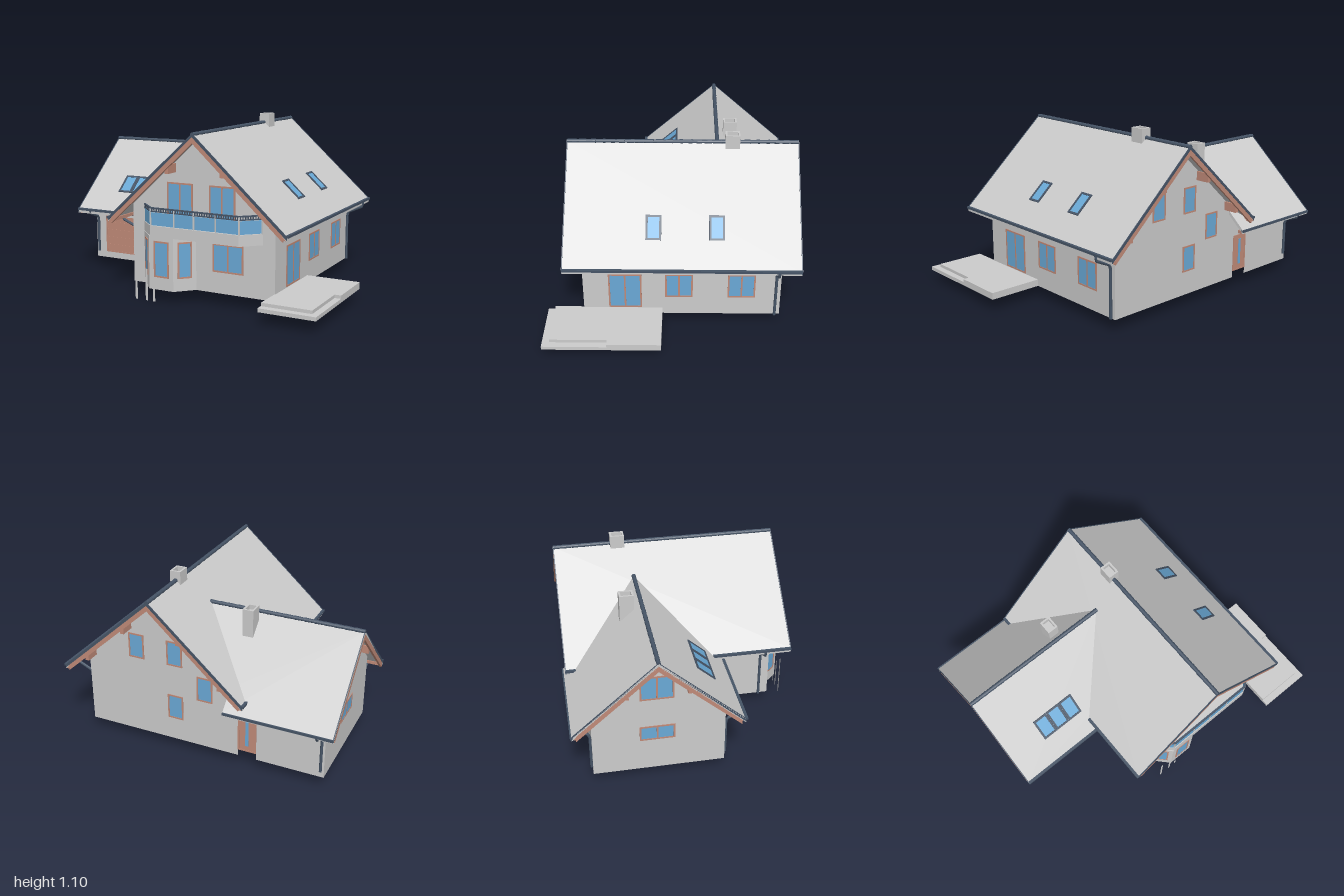
import * as THREE from 'three';

const mat = (color, side = THREE.FrontSide) => new THREE.MeshStandardMaterial({ color, side, flatShading: true });
const GREY = mat(0xcccccc), WOOD = mat(0xc08a78), DARK = mat(0x465466), GLASS = mat(0x6aa9d6), BLUE = mat(0x6068c8);
const THIN = mat(0xcccccc, THREE.DoubleSide);

// Roof planes: main ridge runs along z, wing ridge along x
const RX = 0.165, RZ = -0.275;
const mainY = (x) => 1.04 - Math.abs(x - RX) * 0.905;
const wingY = (x, z) => 0.88 - Math.abs(z - RZ) * 0.89;
// Bottom edge of the open plinth and level of the ground floor
const BASE = 0.077, FLOOR = 0.12;

export function createModel() {
  const root = new THREE.Group();
  const add = (name, geo, m = GREY, parent = root) => {
    const mesh = new THREE.Mesh(geo, m);
    mesh.name = name;
    parent.add(mesh);
    return mesh;
  };
  // Box from its min and max corners
  const box = (name, x0, x1, y0, y1, z0, z1, m, parent) => {
    const b = add(name, new THREE.BoxGeometry(x1 - x0, y1 - y0, z1 - z0), m, parent);
    b.position.set((x0 + x1) / 2, (y0 + y1) / 2, (z0 + z1) / 2);
    return b;
  };
  // Prism over a plan outline of [x, z]; f lifts each vertex onto a roof plane
  const prism = (name, plan, y0, y1, m, f) => {
    const shape = new THREE.Shape(plan.map(([x, z]) => new THREE.Vector2(x, -z)));
    const g = new THREE.ExtrudeGeometry(shape, { depth: y1 - y0, bevelEnabled: false });
    g.rotateX(-Math.PI / 2).translate(0, y0, 0);
    if (f) {
      const p = g.attributes.position;
      for (let i = 0; i < p.count; i++) p.setY(i, p.getY(i) + f(p.getX(i), p.getZ(i)));
      g.computeVertexNormals();
    }
    return add(name, g, m);
  };
  const rect = (x0, x1, z0, z1) => [[x0, z0], [x1, z0], [x1, z1], [x0, z1]];
  // Thin upright sheets following a plan path, from the base up to y1
  const skirt = (name, path, y1) => path.slice(1).forEach(([x, z], i) => {
    const [px, pz] = path[i];
    const s = add(name, new THREE.PlaneGeometry(Math.hypot(x - px, z - pz), y1 - BASE), THIN);
    s.position.set((x + px) / 2, (y1 + BASE) / 2, (z + pz) / 2);
    s.rotation.y = -Math.atan2(z - pz, x - px);
  });
  const tube = (name, pts, r = 0.009) => {
    const path = new THREE.CurvePath();
    const v = pts.map((p) => new THREE.Vector3(...p));
    for (let i = 1; i < v.length; i++) path.add(new THREE.LineCurve3(v[i - 1], v[i]));
    return add(name, new THREE.TubeGeometry(path, 24, r, 8), DARK);
  };

  // Framed window facing +z, turned by yaw and tilted up by pitch
  const win = (name, x, y, z, w, h, { panes = 1, yaw = 0, pitch = 0, frame = WOOD, fill = GLASS, t = 0.01, d = 0.004 } = {}) => {
    const g = new THREE.Group();
    g.name = name;
    const s = new THREE.Shape([[-w, -h], [w, -h], [w, h], [-w, h]].map(([a, b]) => new THREE.Vector2(a / 2, b / 2)));
    const pw = (w - t * (panes + 1)) / panes;
    for (let i = 0; i < panes; i++) {
      const a = -w / 2 + t + i * (pw + t), b = h / 2 - t;
      s.holes.push(new THREE.Path([[a, -b], [a, b], [a + pw, b], [a + pw, -b]].map((q) => new THREE.Vector2(...q))));
    }
    add('frame', new THREE.ExtrudeGeometry(s, { depth: d, bevelEnabled: false }), frame, g);
    box('pane', -w / 2 + 0.004, w / 2 - 0.004, -h / 2 + 0.004, h / 2 - 0.004, 0, d * 0.5, fill, g);
    g.position.set(x, y, z);
    g.rotation.set(-pitch, yaw, 0, 'YXZ');
    root.add(g);
    return g;
  };

  // Main house walls: gable section extruded along z
  const gable = (a, b, mid, top) => new THREE.Shape(
    [[a, FLOOR], [b, FLOOR], [b, top(b)], [mid, top(mid)], [a, top(a)]].map((p) => new THREE.Vector2(...p)));
  const mainGeo = new THREE.ExtrudeGeometry(gable(-0.32, 0.655, RX, (x) => mainY(x) - 0.024), { depth: 1.22, bevelEnabled: false });
  add('mainWalls', mainGeo.translate(0, 0, -0.66));
  // Wing walls: gable section extruded along x
  const wingGeo = new THREE.ExtrudeGeometry(gable(-0.13, 0.66, -RZ, (u) => wingY(0, -u) - 0.024), { depth: 0.62, bevelEnabled: false });
  add('wingWalls', wingGeo.rotateY(Math.PI / 2).translate(-0.92, 0, 0));
  // Hollow plinth with gaps at the front and back doors
  skirt('plinth', [[-0.37, -0.66], [0.655, -0.66], [0.655, 0.56], [0.13, 0.56], [0.03, 0.665], [-0.14, 0.665],
    [-0.24, 0.56], [-0.32, 0.56], [-0.32, 0.13], [-0.37, 0.13]], FLOOR);
  skirt('plinth', [[-0.48, 0.13], [-0.92, 0.13], [-0.92, -0.66], [-0.49, -0.66]], FLOOR);

  // Main roof: covering, barge boards, verge trims, eaves
  const Z0 = -0.765, Z1 = 0.665;
  for (const [x0, x1, b0, b1] of [[-0.44, RX, -0.415, RX], [RX, 0.77, RX, 0.745]]) {
    prism('mainRoof', rect(x0, x1, Z0, Z1), -0.025, 0, GREY, mainY);
    for (const [z, s] of [[Z0, 1], [Z1, -1]]) {
      const strip = (a, b, c, d) => rect(a, b, Math.min(z + s * c, z + s * d), Math.max(z + s * c, z + s * d));
      prism('bargeBoard', strip(b0, b1, -0.001, 0.014), -0.055, -0.018, WOOD, mainY);
      prism('vergeTrim', strip(x0, x1, -0.002, 0.004), -0.019, 0.003, DARK, mainY);
    }
  }
  box('eaveBoard', 0.735, 0.765, 0.47, 0.49, Z0, Z1, WOOD);
  box('gutter', 0.762, 0.78, 0.486, 0.5, Z0, Z1, DARK);
  for (const [a, b] of [[0.16, Z1], [Z0, -0.7]]) {
    box('eaveBoard', -0.435, -0.405, 0.47, 0.49, a, b, WOOD);
    box('gutter', -0.45, -0.432, 0.486, 0.5, a, b, DARK);
  }

  // Wing roof: each slope ends beneath the main roof
  for (const [eave, wall] of [[0.235, 0.13], [-0.775, -0.66]]) {
    const s = Math.sign(eave - RZ), inner = eave - s * 0.025;
    prism('wingRoof', [[-1, eave], [-0.32, eave], [-0.32, wall], [-0.012, RZ], [-1, RZ]], -0.025, 0, GREY, wingY);
    prism('wingBargeBoard', rect(-1.0, -0.985, RZ, inner), -0.055, -0.018, WOOD, wingY);
    prism('wingVergeTrim', rect(-1.0, -0.995, RZ, eave), -0.019, 0.003, DARK, wingY);
    box('wingEaveBoard', -0.99, -0.32, 0.408, 0.428, inner - 0.012, inner + 0.012, WOOD);
    box('wingGutter', -1, -0.32, 0.42, 0.435, eave - 0.009, eave + 0.009, DARK);
  }

  // Ridge tiles: tapered overlapping segments
  for (let i = 0; i < 24; i++) {
    const step = (Z1 - Z0) / 24;
    const r = add('ridgeTile', new THREE.CylinderGeometry(0.012, 0.014, step, 16), DARK);
    r.rotation.x = Math.PI / 2;
    r.position.set(RX, 1.036, Z0 + (i + 0.5) * step);
  }
  for (let i = 0; i < 16; i++) {
    const r = add('wingRidgeTile', new THREE.CylinderGeometry(0.012, 0.014, 0.062, 16), DARK);
    r.rotation.z = Math.PI / 2;
    r.position.set(-0.969 + i * 0.062, 0.877, RZ);
  }

  // Purlin ends under the overhangs
  const purlin = (dx, a, b) => {
    const y = mainY(RX + dx) - 0.025;
    box('purlin', RX + dx - 0.012, RX + dx + 0.012, y - 0.055, y, a, b, WOOD);
  };
  for (const dx of [-0.185, 0.185]) purlin(dx, 0.55, 0.65);
  for (const dx of [-0.45, -0.185, 0.185, 0.45]) purlin(dx, -0.75, -0.65);
  for (const dz of [-0.18, 0.18]) {
    const y = wingY(0, RZ + dz) - 0.025;
    box('wingPurlin', -0.985, -0.91, y - 0.05, y, RZ + dz - 0.012, RZ + dz + 0.012, WOOD);
  }

  // Chimneys with hollow tops
  const chimney = (x, z, y0, y1) => {
    const w = 0.035, d = 0.045, k = 0.012;
    box('chimney', x - w, x + w, y0, y1 - 0.03, z - d, z + d);
    for (const s of [-1, 1]) {
      box('chimneyRim', x + s * (w - k / 2) - k / 2, x + s * (w - k / 2) + k / 2, y1 - 0.03, y1, z - d, z + d);
      box('chimneyRim', x - w + k, x + w - k, y1 - 0.03, y1, z + s * (d - k / 2) - k / 2, z + s * (d - k / 2) + k / 2);
    }
  };
  chimney(0.168, -0.357, 1.0, 1.095);
  chimney(-0.318, -0.365, 0.74, 0.935);

  // Bay and balcony
  prism('bay', [[-0.24, 0.55], [-0.24, 0.56], [-0.14, 0.665], [0.03, 0.665], [0.13, 0.56], [0.13, 0.55]], FLOOR, 0.41);
  prism('balconySlab', [[-0.24, 0.55], [-0.24, 0.56], [-0.13, 0.665], [0.47, 0.665], [0.575, 0.56], [0.575, 0.55]], 0.405, 0.472);
  const rail = [[-0.235, 0.56], [-0.13, 0.658], [0.035, 0.658], [0.17, 0.658], [0.315, 0.658], [0.47, 0.658], [0.57, 0.56]];
  rail.forEach(([x, z], i) => {
    box('railPost', x - 0.004, x + 0.004, 0.47, 0.58, z - 0.004, z + 0.004);
    if (!i) return;
    const [px, pz] = rail[i - 1], len = Math.hypot(x - px, z - pz);
    const g = new THREE.Group();
    g.name = 'railing';
    g.position.set((x + px) / 2, 0, (z + pz) / 2);
    g.rotation.y = -Math.atan2(z - pz, x - px);
    box('railGlass', -len / 2 + 0.006, len / 2 - 0.006, 0.474, 0.553, -0.002, 0.002, GLASS, g);
    box('lowerRail', -len / 2, len / 2, 0.556, 0.562, -0.004, 0.004, DARK, g);
    box('handRail', -len / 2, len / 2, 0.576, 0.584, -0.006, 0.006, DARK, g);
    const n = Math.round(len / 0.016);
    for (let k = 0; k < n; k++) {
      const u = -len / 2 + (k + 0.5) * len / n;
      box('baluster', u - 0.003, u + 0.003, 0.56, 0.578, -0.003, 0.003, DARK, g);
    }
    root.add(g);
  });

  // Front windows and doors
  const F = 0.56, R = 0.655, B = -0.66, side = Math.PI / 2, back = Math.PI;
  win('balconyDoor', 0.02, 0.6, F, 0.18, 0.26, { panes: 2 });
  win('balconyDoor', 0.308, 0.6, F, 0.175, 0.26, { panes: 2 });
  win('frontWindow', 0.348, 0.295, F, 0.205, 0.175, { panes: 2 });
  win('bayWindow', -0.053, 0.268, 0.665, 0.105, 0.225);
  win('bayWindow', -0.19, 0.268, 0.6125, 0.09, 0.225, { yaw: -0.81 });
  win('bayWindow', 0.08, 0.268, 0.6125, 0.09, 0.225, { yaw: 0.81 });
  win('garageDoor', -0.692, 0.252, 0.13, 0.295, 0.265, { fill: WOOD });
  for (let i = 1; i < 5; i++) box('garageDoorRib', -0.83, -0.555, 0.12 + i * 0.053, 0.123 + i * 0.053, 0.13, 0.134, WOOD);
  win('frontDoor', -0.427, 0.24, 0.13, 0.11, 0.24, { fill: WOOD });
  box('frontDoorGlass', -0.44, -0.418, 0.16, 0.33, 0.13, 0.135, BLUE);
  // Right side
  win('terraceDoor', R, 0.253, 0.3, 0.205, 0.255, { panes: 2, yaw: side });
  for (const z of [-0.033, -0.418]) win('sideWindow', R, 0.296, z, 0.17, 0.175, { panes: 2, yaw: side });
  // Back
  for (const [x, y] of [[0.31, 0.68], [0.05, 0.68], [0.05, 0.31], [-0.15, 0.48]])
    win('backWindow', x, y, B, 0.105, 0.165, { yaw: back });
  win('backDoor', -0.43, 0.24, B, 0.12, 0.24, { yaw: back, fill: WOOD });
  box('backDoorGlass', -0.44, -0.42, 0.16, 0.33, B - 0.005, B, GLASS);
  // Wing gable
  win('gableWindow', -0.92, 0.66, RZ, 0.2, 0.16, { panes: 2, yaw: -side });
  win('gableWindow', -0.92, 0.34, RZ, 0.21, 0.1, { panes: 2, yaw: -side });

  // Skylights
  const sky = { frame: DARK, t: 0.013, d: 0.006 };
  for (const z of [0.122, -0.26])
    win('skylight', 0.573, mainY(0.573), z, 0.095, 0.155, { ...sky, yaw: side, pitch: Math.atan(1 / 0.905) });
  for (const x of [-0.702, -0.602, -0.502])
    win('wingSkylight', x, wingY(0, 0.045), 0.045, 0.099, 0.148, { ...sky, pitch: Math.atan(1 / 0.89) });

  // Downpipes, starting inside the gutters
  tube('downpipe', [[0.771, 0.492, -0.63], [0.77, 0.455, -0.63], [0.67, 0.41, -0.63], [0.662, 0.38, -0.63], [0.662, BASE, -0.63]]);
  tube('downpipe', [[-0.441, 0.492, 0.5], [-0.438, 0.455, 0.5], [-0.34, 0.415, 0.5], [-0.327, 0.38, 0.5], [-0.327, BASE, 0.5]]);
  tube('wingDownpipe', [[-0.9, 0.428, 0.235], [-0.9, 0.4, 0.225], [-0.9, 0.37, 0.145], [-0.9, 0.34, 0.137], [-0.9, 0.12, 0.137]]);
  tube('wingDownpipe', [[-0.9, 0.428, -0.775], [-0.9, 0.4, -0.765], [-0.9, 0.37, -0.68], [-0.9, 0.34, -0.667], [-0.9, 0.12, -0.667]]);

  // Terrace: hollow lower step and an L-shaped deck on top
  prism('terraceBase', rect(0.65, 1, 0.07, 0.785), 0.095, 0.1);
  skirt('terraceSide', [[0.655, 0.07], [1, 0.07], [1, 0.785], [0.65, 0.785], [0.65, 0.56]], 0.1);
  prism('terraceDeck', [[0.65, 0.07], [1, 0.07], [1, 0.395], [0.96, 0.395], [0.96, 0.74], [0.65, 0.74]], 0.1, 0.12);

  // Slender flat stakes in front of the bay
  for (const [x, top] of [[-0.232, 0.27], [-0.158, 0.2], [-0.105, 0.08]])
    add('stake', new THREE.PlaneGeometry(0.016, top), THIN).position.set(x, top / 2, 0.67);

  return root;
}
